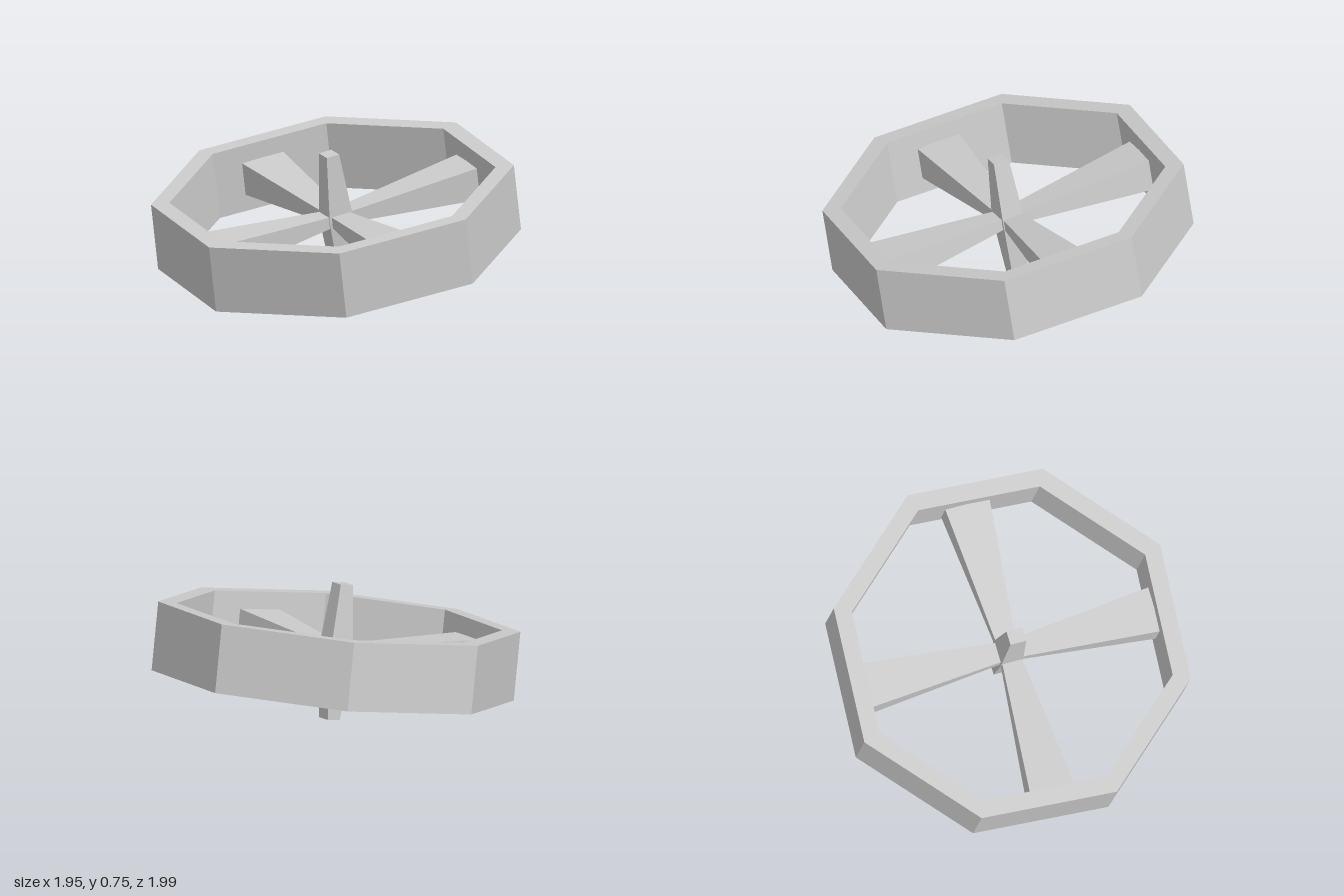
import * as THREE from 'three';

const rad = THREE.MathUtils.degToRad;
const material = new THREE.MeshStandardMaterial({ color: 0xcccccc, flatShading: true });

// Four-sided arm along +x; half sizes [y, z] change from the near to the far end
function taperedArm(name, length, near, far) {
  const geometry = new THREE.BoxGeometry(1, 2, 2).translate(0.5, 0, 0);
  const p = geometry.attributes.position;
  for (let i = 0; i < p.count; i++) {
    const end = p.getX(i) > 0.5 ? far : near;
    p.setXYZ(i, p.getX(i) * length, p.getY(i) * end[0], p.getZ(i) * end[1]);
  }
  geometry.computeVertexNormals();
  const mesh = new THREE.Mesh(geometry, material);
  mesh.name = name;
  return mesh;
}

export function createModel() {
  const model = new THREE.Group();
  model.name = 'tiltedWheel';

  // Octagonal rim with a rectangular section
  const outer = 0.985, inner = 0.885, half = 0.188;
  const section = [[inner, -half], [outer, -half], [outer, half], [inner, half], [inner, -half]]
    .map(([x, y]) => new THREE.Vector2(x, y));
  const rim = new THREE.Mesh(new THREE.LatheGeometry(section, 8, rad(-8.2)), material);
  rim.name = 'rim';
  model.add(rim);

  // Spokes widen towards the rim, axle arms narrow towards their tips
  const cross = new THREE.Group();
  cross.name = 'cross';
  cross.rotation.y = rad(-27);
  for (let i = 0; i < 4; i++) {
    const spoke = taperedArm('spoke', 0.82, [0.027, 0.05], [0.092, 0.125]);
    spoke.rotation.y = i * Math.PI / 2;
    cross.add(spoke);
  }
  for (const side of [1, -1]) {
    const axle = taperedArm(side > 0 ? 'upperAxle' : 'lowerAxle', 0.37, [0.063, 0.072], [0.045, 0.038]);
    axle.rotation.z = side * Math.PI / 2;
    cross.add(axle);
  }
  model.add(cross);

  // Lean the whole wheel forwards
  model.rotation.x = rad(10.2);
  model.position.y = 0.378;

  const root = new THREE.Group();
  root.add(model);
  return root;
}
